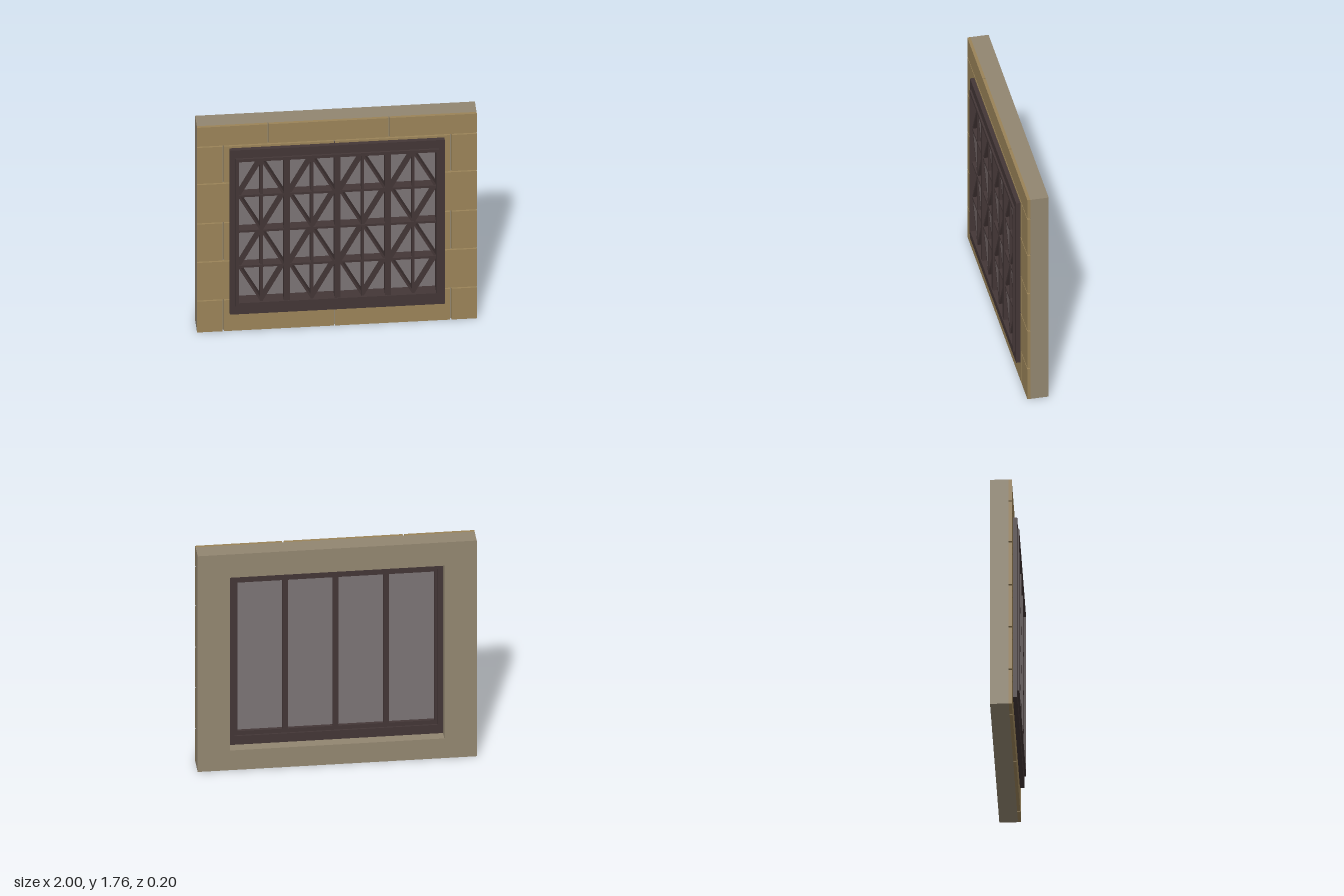
import * as THREE from 'three';

const mat = (name, color) => new THREE.MeshStandardMaterial({ name, color });

export function createModel() {
  const model = new THREE.Group();
  model.name = 'latticeWindow';
  const wallMat = mat('wall plaster', 0x928670);
  const stoneMat = mat('sandstone', 0x9a8358);
  const woodMat = mat('dark wood', 0x433636);
  const glassMat = mat('grey glass', 0x7a7374);

  const group = (name) => {
    const g = new THREE.Group();
    g.name = name;
    model.add(g);
    return g;
  };
  // Box given by its limits
  const box = (parent, name, m, x0, x1, y0, y1, z0, z1) => {
    const mesh = new THREE.Mesh(new THREE.BoxGeometry(x1 - x0, y1 - y0, z1 - z0), m);
    mesh.position.set((x0 + x1) / 2, (y0 + y1) / 2, (z0 + z1) / 2);
    mesh.name = name;
    parent.add(mesh);
    return mesh;
  };
  // Rectangular ring, symmetric in x, extruded from z0 to z1
  const ring = (name, m, [ox, oy0, oy1], [ix, iy0, iy1], z0, z1) => {
    const rect = (P, x, a, b) => new P([[-x, a], [x, a], [x, b], [-x, b]].map(p => new THREE.Vector2(...p)));
    const shape = rect(THREE.Shape, ox, oy0, oy1);
    shape.holes.push(rect(THREE.Path, ix, iy0, iy1));
    const geo = new THREE.ExtrudeGeometry(shape, { depth: z1 - z0, bevelEnabled: false });
    const mesh = new THREE.Mesh(geo, m);
    mesh.position.z = z0;
    mesh.name = name;
    model.add(mesh);
  };

  // Wall with its opening
  const H = 1.76, OX = 0.768, OY0 = 0.16, OY1 = 1.57;
  ring('wall', wallMat, [1, 0, H], [OX, OY0, OY1], -0.1, 0.033);

  // Stone facing: rows of blocks cut around the opening
  const stones = group('stoneFacing');
  const gap = 0.005;
  const rows = [0, 0.27, 0.603, 0.933, 1.272, 1.592, H];
  const joints = [
    [-0.813, -0.018, 0.813], [], [-0.813, 0.813], [], [-0.813, -0.018, 0.813], [-0.492, 0.373],
  ];
  joints.forEach((row, r) => {
    const y0 = rows[r] + (r ? gap : 0);
    const y1 = rows[r + 1] - (r < 5 ? gap : 0);
    const xs = [-1, ...row, 1];
    for (let i = 0; i < xs.length - 1; i++) {
      const x0 = xs[i] + (i ? gap : 0);
      const x1 = xs[i + 1] - (i < xs.length - 2 ? gap : 0);
      const piece = (a, b, c, d) => {
        if (b - a > 0.001 && d - c > 0.001) box(stones, 'stoneBlock', stoneMat, a, b, c, d, 0.033, 0.055);
      };
      if (y0 >= OY1 || y1 <= OY0) {
        piece(x0, x1, y0, y1);
        continue;
      }
      const m0 = Math.max(x0, -OX), m1 = Math.min(x1, OX);
      piece(x0, Math.min(x1, -OX), y0, y1);
      piece(Math.max(x0, OX), x1, y0, y1);
      piece(m0, m1, y0, Math.min(y1, OY0));
      piece(m0, m1, Math.max(y0, OY1), y1);
    }
  });

  // Stepped window frame
  const IX = 0.706, Y0 = 0.263, Y1 = 1.475;
  ring('outerFrame', woodMat, [OX, OY0, OY1], [0.727, 0.23, 1.5], -0.02, 0.086);
  ring('innerFrame', woodMat, [0.727, 0.23, 1.5], [IX, Y0, Y1], -0.008, 0.099);

  // Mullions between the four panes
  const pitch = 0.362, half = 0.161;
  const mullions = group('mullions');
  for (const i of [-1, 0, 1]) {
    box(mullions, 'mullion', woodMat, i * pitch - 0.021, i * pitch + 0.021, Y0, Y1, -0.008, 0.092);
  }

  // Panes with their diamond lattice
  const panes = group('panes');
  const lattice = group('lattice');
  const step = (Y1 - Y0) / 4;
  for (let i = 0; i < 4; i++) {
    const cx = (i - 1.5) * pitch;
    box(panes, 'glassPane', glassMat, cx - half, cx + half, Y0 + 0.007, Y1 - 0.007, 0.004, 0.012);
    box(lattice, 'uprightBar', woodMat, cx - 0.01, cx + 0.01, Y0, Y1, 0.012, 0.083);
    for (let k = 1; k < 4; k++) {
      const y = Y0 + k * step;
      box(lattice, 'crossBar', woodMat, cx - half, cx + half, y - 0.009, y + 0.009, 0.012, 0.085);
    }
    for (let k = 0; k < 4; k++) {
      for (const side of [-1, 1]) {
        const len = Math.hypot(half, step);
        const x = cx + side * half / 2, y = Y0 + (k + 0.5) * step;
        const bar = box(lattice, 'diagonalBar', woodMat, x - 0.008, x + 0.008, y - len / 2, y + len / 2, 0.012, 0.081);
        bar.rotation.z = Math.atan2(half, step) * side * (k % 2 ? 1 : -1);
      }
    }
  }
  return model;
}
